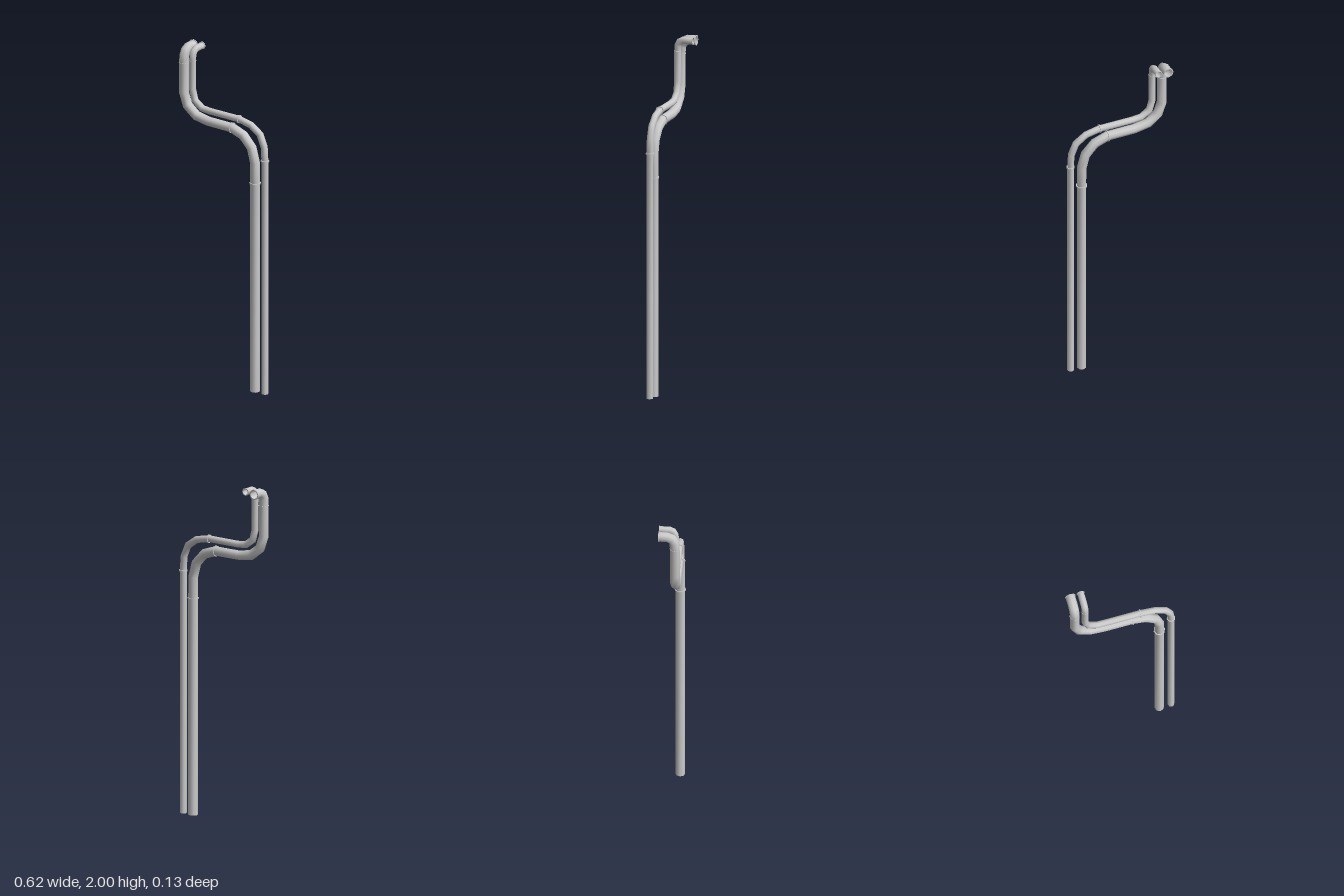
import * as THREE from 'three';
import { toCreasedNormals } from 'three/addons/utils/BufferGeometryUtils.js';

const SIDES = 8;
const PIPE_Z = 0.029;
const material = new THREE.MeshStandardMaterial({ color: 0xcccccc, side: THREE.DoubleSide });

// Sweeps an octagon along the points, with a mitred joint at every bend.
function sweepPipe(points, radius) {
  const dirs = points.slice(1).map((p, i) => p.clone().sub(points[i]).normalize());
  const up = new THREE.Vector3(0, 1, 0);
  const side = new THREE.Vector3().crossVectors(up, dirs[0]).normalize();
  let ring = [];
  for (let j = 0; j < SIDES; j++) {
    const a = (j / SIDES) * Math.PI * 2;
    ring.push(points[0].clone().addScaledVector(side, Math.cos(a) * radius).addScaledVector(up, Math.sin(a) * radius));
  }
  const positions = [], index = [];
  points.forEach((p, i) => {
    if (i > 0) {
      // Slide the ring along the segment until it meets the mitre plane.
      const d = dirs[i - 1];
      const normal = d.clone().add(dirs[i] || d).normalize();
      ring = ring.map((v) => v.clone().addScaledVector(d, p.clone().sub(v).dot(normal) / d.dot(normal)));
    }
    ring.forEach((v) => positions.push(v.x, v.y, v.z));
    if (i === 0) return;
    for (let j = 0; j < SIDES; j++) {
      const k = (j + 1) % SIDES, a = (i - 1) * SIDES, b = i * SIDES;
      index.push(a + j, a + k, b + k, a + j, b + k, b + j);
    }
  });
  const geometry = new THREE.BufferGeometry();
  geometry.setAttribute('position', new THREE.Float32BufferAttribute(positions, 3));
  geometry.setIndex(index);
  geometry.computeVertexNormals();
  return geometry;
}

// Thin octagonal band around the pipe at a joint.
function makeCollar(name, position, direction, radius, outer, width) {
  const h = width / 2, inner = radius * 0.88;
  const profile = [[inner, -h], [outer, -h], [outer, h], [inner, h], [inner, -h]].map(([x, y]) => new THREE.Vector2(x, y));
  const geometry = toCreasedNormals(new THREE.LatheGeometry(profile, SIDES), 0.9);
  const mesh = new THREE.Mesh(geometry, material);
  mesh.name = name;
  mesh.position.copy(position);
  mesh.quaternion.setFromUnitVectors(new THREE.Vector3(0, 1, 0), direction);
  return mesh;
}

function makePipe({ name, radius, elbow, run, elbowJoint, bendJoint, dropJoint }) {
  const group = new THREE.Group();
  group.name = name;
  const x = run[0][0];
  const points = [
    ...elbow.map(([z, y]) => new THREE.Vector3(x, y, z)),
    ...run.map(([px, py]) => new THREE.Vector3(px, py, PIPE_Z)),
  ];
  const body = new THREE.Mesh(sweepPipe(points, radius), material);
  body.name = name + 'Body';
  group.add(body);

  const X = new THREE.Vector3(1, 0, 0), Y = new THREE.Vector3(0, 1, 0), Z = new THREE.Vector3(0, 0, 1);
  const at = ([px, py]) => new THREE.Vector3(px, py, PIPE_Z);
  const end = points[0].clone();
  end.z += 0.003;
  group.add(
    makeCollar('endFlange', end, Z, radius, radius + 0.003, 0.006),
    makeCollar('elbowCollar', at(elbowJoint), Y, radius, radius + 0.002, 0.004),
    makeCollar('bendCollar', at(bendJoint), X, radius, radius + 0.005, 0.008),
    makeCollar('dropCollar', at(dropJoint), Y, radius, radius + 0.005, 0.008),
  );
  return group;
}

export function createModel() {
  const model = new THREE.Group();
  model.name = 'pipes';
  model.add(
    makePipe({
      name: 'largePipe',
      radius: 0.028,
      elbow: [[-0.065, 1.971], [-0.015, 1.971], [0.012, 1.959], [0.026, 1.932]], // z, y
      run: [[-0.283, 1.89], [-0.283, 1.71], [-0.257, 1.635], [-0.195, 1.586], [-0.11, 1.571], [0.055, 1.57],
        [0.135, 1.542], [0.193, 1.48], [0.216, 1.395], [0.217, 1.27], [0.217, 0]], // x, y
      elbowJoint: [-0.283, 1.89], bendJoint: [0.055, 1.57], dropJoint: [0.217, 1.27],
    }),
    makePipe({
      name: 'smallPipe',
      radius: 0.02,
      elbow: [[-0.065, 1.979], [-0.005, 1.979], [0.016, 1.969], [0.027, 1.947]],
      run: [[-0.222, 1.915], [-0.222, 1.74], [-0.205, 1.676], [-0.155, 1.64], [-0.1, 1.635], [0.105, 1.635],
        [0.19, 1.617], [0.252, 1.574], [0.281, 1.505], [0.286, 1.42], [0.286, 0]],
      elbowJoint: [-0.222, 1.915], bendJoint: [0.105, 1.635], dropJoint: [0.286, 1.42],
    }),
  );
  return model;
}
